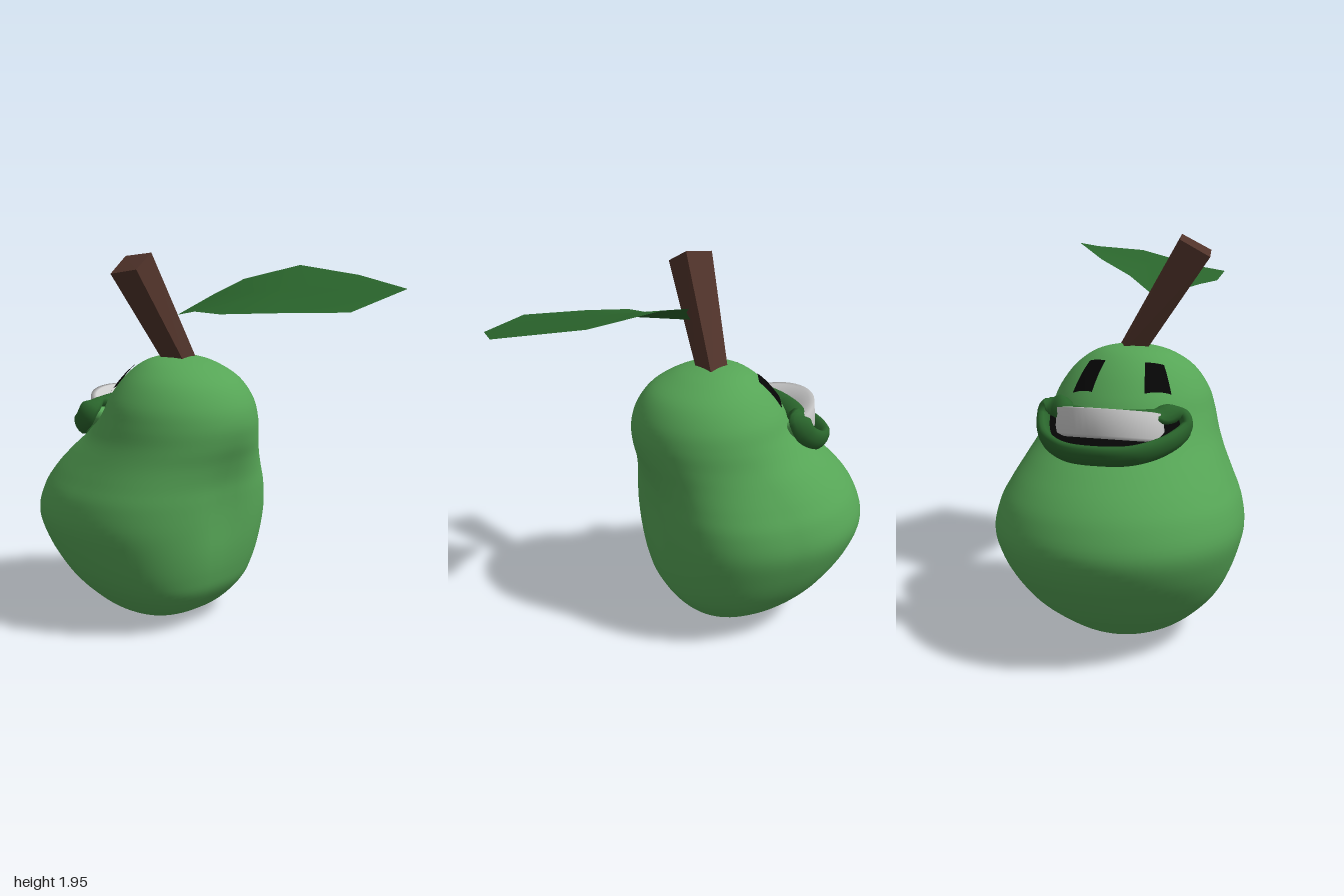
import * as THREE from 'three';
import { mergeVertices } from 'three/addons/utils/BufferGeometryUtils.js';

const V = (x, y, z) => new THREE.Vector3(x, y, z);
const mat = (color, extra = {}) => new THREE.MeshStandardMaterial({ color, ...extra });

// Skin a list of rings (arrays of Vector3 of equal length) with quads.
function loft(rings, closed = true) {
  const n = rings[0].length, cols = closed ? n : n - 1, index = [];
  for (let r = 0; r < rings.length - 1; r++) {
    for (let i = 0; i < cols; i++) {
      const a = r * n + i, b = r * n + (i + 1) % n;
      index.push(a, b, b + n, a, b + n, a + n);
    }
  }
  const geo = new THREE.BufferGeometry().setFromPoints(rings.flat());
  geo.setIndex(index);
  geo.computeVertexNormals();
  return geo;
}

// Body profile rows: height, half width, z of the face side, z of the rear side.
const PROFILE = [
  [0, 0.005, -0.335, -0.325], [0.012, 0.13, -0.44, -0.21], [0.045, 0.235, -0.53, -0.08],
  [0.1, 0.33, -0.62, 0.01], [0.2, 0.435, -0.755, 0.095], [0.3, 0.505, -0.85, 0.13],
  [0.43, 0.56, -0.95, 0.155], [0.57, 0.595, -1.0, 0.168], [0.7, 0.575, -0.965, 0.175],
  [0.8, 0.53, -0.9, 0.18], [0.9, 0.48, -0.8, 0.2], [1.0, 0.435, -0.68, 0.23],
  [1.1, 0.405, -0.585, 0.243], [1.2, 0.37, -0.53, 0.22], [1.3, 0.3, -0.455, 0.15],
  [1.37, 0.21, -0.375, 0.03], [1.405, 0.12, -0.295, -0.08], [1.42, 0.005, -0.18, -0.17],
];
const faceCurve = new THREE.CatmullRomCurve3(PROFILE.map(p => V(p[1], p[0], p[2])), false, 'catmullrom');
const rearCurve = new THREE.CatmullRomCurve3(PROFILE.map(p => V(p[1], p[0], p[3])), false, 'catmullrom');
const ROWS = Array.from({ length: 81 }, (_, i) => {
  const f = faceCurve.getPoint(i / 80), r = rearCurve.getPoint(i / 80);
  return { y: f.y, w: f.x, c: (f.z + r.z) / 2, d: (r.z - f.z) / 2 };
});

function bodyGeometry() {
  return loft(ROWS.map(({ y, w, c, d }) => {
    // the rear of the belly is squarer, with a shallow groove down the middle
    const belly = 1 - THREE.MathUtils.smoothstep(y, 0.75, 1.15);
    const power = 1 - 0.2 * belly;
    return Array.from({ length: 64 }, (_, i) => {
      const a = i / 64 * Math.PI * 2, s = Math.sin(a), co = Math.cos(a);
      if (co <= 0) return V(w * s, y, c + d * co);
      const x = w * Math.sign(s) * Math.abs(s) ** power;
      const groove = 0.03 * Math.exp(-((x / 0.12) ** 2) - ((y - 0.65) / 0.25) ** 2);
      return V(x, y, c + d * co ** power - groove);
    });
  }));
}

// Height of the head surface above a point (x, z).
function headHeight(x, z) {
  const f = ({ w, c, d }) => Math.hypot(x / w, (z - c) / d);
  let i = ROWS.length - 1;
  while (i > 1 && f(ROWS[i - 1]) > 1) i--;
  const hi = f(ROWS[i]), lo = f(ROWS[i - 1]);
  return THREE.MathUtils.lerp(ROWS[i - 1].y, ROWS[i].y, (1 - lo) / (hi - lo));
}

// Eye patch draped over the head from four (x, z) corners.
function eyeGeometry([a, b, c, d]) {
  const mix = THREE.MathUtils.lerp, N = 6;
  const rows = [];
  for (let v = 0; v <= N; v++) {
    const row = [];
    for (let u = 0; u <= N; u++) {
      const x = mix(mix(a[0], b[0], u / N), mix(d[0], c[0], u / N), v / N);
      const z = mix(mix(a[1], b[1], u / N), mix(d[1], c[1], u / N), v / N);
      row.push(V(x, headHeight(x, z) + 0.008, z - 0.006));
    }
    rows.push(row);
  }
  return loft(rows, false);
}

// Curved block of teeth, rising towards its outer edge.
function teethGeometry() {
  const section = [[0.14, 0.03], [0.27, 0.03], [0.288, 0.045], [0.278, 0.165], [0.25, 0.17], [0.14, 0.12]];
  const rings = [];
  for (let i = 0; i <= 20; i++) {
    const a = THREE.MathUtils.lerp(-1.2, 1.2, i / 20);
    rings.push(section.map(([r, h]) => {
      const z = -0.452 - r * Math.cos(a);
      return V(r * Math.sin(a), 1.04 + h - (z + 0.745) * 0.25, z);
    }));
  }
  const cap = ring => ring.map(() => ring.reduce((s, p) => s.add(p), V(0, 0, 0)).divideScalar(ring.length));
  return loft([cap(rings[0]), ...rings, cap(rings[20])]);
}

// Lip: an oval section, thin across the mouth and deep along its opening.
function lipGeometry(curve, centre) {
  const N = 96;
  return loft(Array.from({ length: N + 1 }, (_, i) => {
    const p = curve.getPoint(i / N), t = curve.getTangent(i / N);
    const out = p.clone().sub(centre).projectOnPlane(t).normalize();
    const along = t.clone().cross(out);
    return Array.from({ length: 12 }, (_, j) => {
      const a = j / 12 * Math.PI * 2;
      return p.clone().addScaledVector(out, 0.03 * Math.cos(a)).addScaledVector(along, 0.055 * Math.sin(a));
    });
  }));
}

export function createModel() {
  const group = new THREE.Group();
  const add = (name, geometry, material) => {
    const mesh = new THREE.Mesh(geometry, material);
    mesh.name = name;
    group.add(mesh);
  };
  const two = { side: THREE.DoubleSide };
  const skin = mat(0x56a556), skinTwo = mat(0x56a556, two);
  const black = mat(0x060606, two), darkGreen = mat(0x2a652c, two);

  add('body', bodyGeometry(), skin);

  // Mouth: a lip loop, a bulge joining it to the body and a dark hollow
  const lip = new THREE.CatmullRomCurve3([
    V(0, 1.14, -0.59), V(0.2, 1.15, -0.565), V(0.305, 1.165, -0.52), V(0.325, 1.11, -0.54),
    V(0.28, 1.035, -0.645), V(0.16, 1.0, -0.74), V(0, 0.995, -0.77),
    V(-0.17, 1.0, -0.73), V(-0.3, 1.035, -0.615), V(-0.355, 1.09, -0.51),
    V(-0.335, 1.145, -0.49), V(-0.21, 1.145, -0.545),
  ], true);
  const loop = lip.getPoints(72).slice(0, 72);
  const toward = (p, t) => loop.map(q => q.clone().lerp(p, t));
  const root = V(0, 0.98, -0.28), hollow = V(0, 1.08, -0.62);
  add('lips', lipGeometry(lip, hollow), darkGreen);
  add('mouthBulge', loft([loop, toward(root, 0.2), toward(root, 0.6)]), skinTwo);
  add('mouthHollow', loft([loop, toward(hollow, 0.3), toward(hollow, 0.99)]), black);
  add('teeth', teethGeometry(), mat(0xcccccc, two));

  // Eyes
  add('rightEye', eyeGeometry([[-0.26, -0.41], [-0.15, -0.48], [-0.12, -0.37], [-0.2, -0.325]]), black);
  add('leftEye', eyeGeometry([[0.1, -0.5], [0.21, -0.46], [0.16, -0.35], [0.07, -0.385]]), black);

  // Stem: a leaning, slightly flared four-sided post
  const base = [V(-0.055, 1.36, -0.21), V(-0.015, 1.36, -0.1), V(0.105, 1.36, -0.13), V(0.055, 1.36, -0.24)];
  const top = [V(-0.395, 1.845, -0.24), V(-0.365, 1.87, -0.087), V(-0.23, 1.945, -0.125), V(-0.26, 1.925, -0.28)];
  const mid = top.map(() => V(-0.3125, 1.896, -0.183));
  add('stem', loft([base, top, mid]).toNonIndexed(), mat(0x50332a, { flatShading: true, ...two }));

  // Leaf: a thin, gently tilted fan
  const rim = [
    V(-0.09, 1.635, -0.09), V(-0.24, 1.68, 0.18), V(-0.29, 1.685, 0.39), V(-0.26, 1.71, 0.71),
    V(-0.06, 1.715, 0.95), V(0.3, 1.8, 1.0), V(0.45, 1.84, 0.62), V(0.43, 1.875, 0.27),
    V(0.24, 1.805, 0.06), V(0.07, 1.73, 0.0),
  ];
  const heart = rim.map(() => V(0.08, 1.775, 0.45));
  const leaf = loft([rim, heart]);
  leaf.deleteAttribute('normal');
  const blade = mergeVertices(leaf);
  blade.computeVertexNormals();
  add('leaf', blade, darkGreen);

  return group;
}
